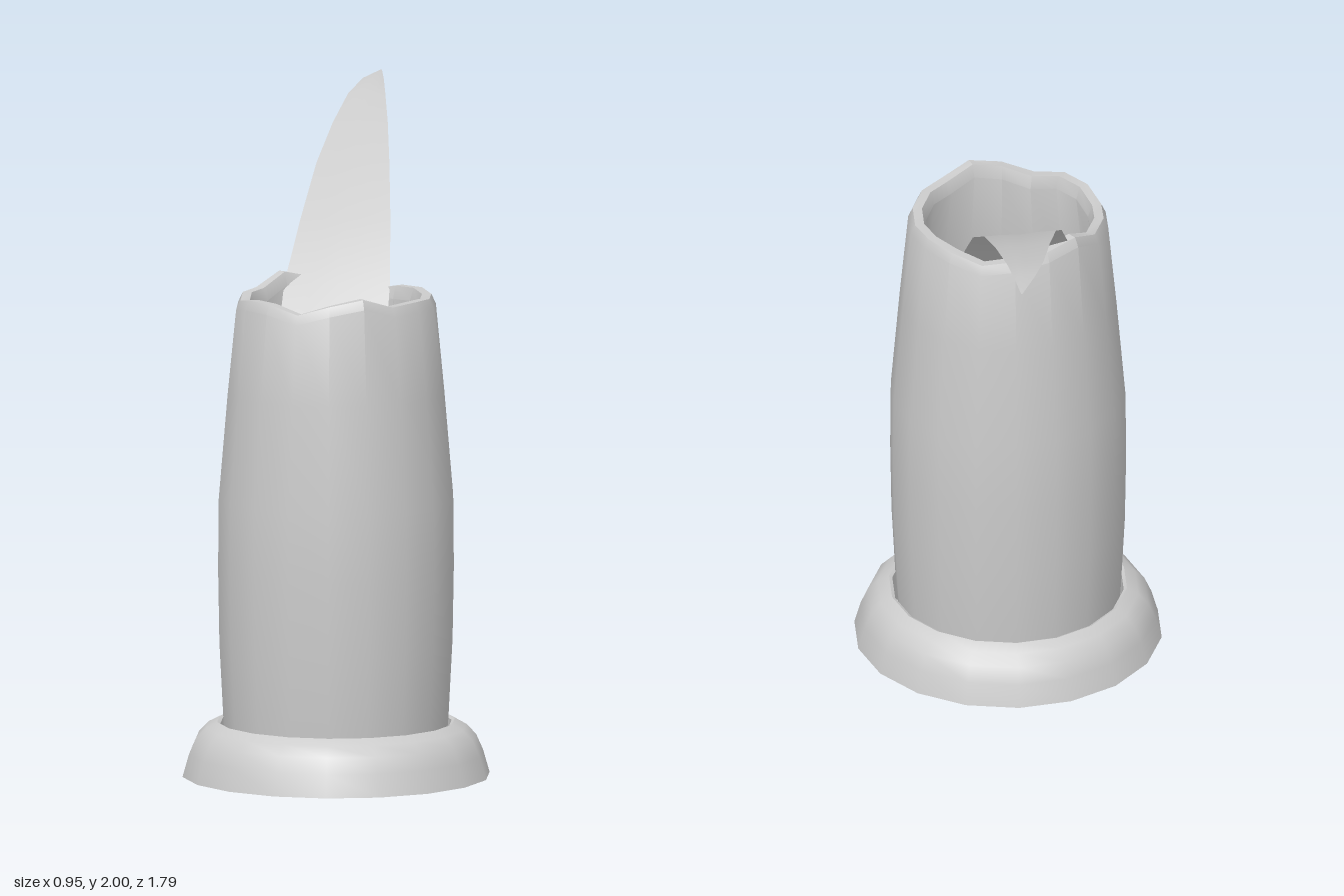
import * as THREE from 'three';
import { toCreasedNormals } from 'three/addons/utils/BufferGeometryUtils.js';

const SIDES = 18;
const CENTRE_Z = 0.425;
const material = new THREE.MeshStandardMaterial({ color: 0xcccccc, side: THREE.DoubleSide });

function lathe(profile) {
  const points = profile.map(([r, y]) => new THREE.Vector2(r, y));
  return new THREE.LatheGeometry(points, SIDES, THREE.MathUtils.degToRad(15));
}

function addMesh(group, name, geometry, crease) {
  const mesh = new THREE.Mesh(toCreasedNormals(geometry, crease), material);
  mesh.name = name;
  group.add(mesh);
  return mesh;
}

// Uneven rim: height offset at each of the 18 corners, in hundredths
const RIM = [0, 0, 0.5, 0, 3, 1, -2, 0.5, 0.5, -1, 0, 0, 4, 2, 0, -2, 0, 0.5];

function potGeometry() {
  const geometry = lathe([
    [0, 0.06], [0.34, 0.06], [0.35, 0.17], [0.363, 0.42], [0.367, 0.65], [0.365, 0.87],
    [0.337, 1.2], [0.311, 1.47], [0.297, 1.5], [0.268, 1.5], [0.255, 1.46],
    [0.285, 1.2], [0.315, 0.87], [0.315, 0.45], [0.3, 0.12], [0, 0.12],
  ]);
  const p = geometry.attributes.position;
  for (let i = 0; i < p.count; i++) {
    if (p.getY(i) < 1.4) continue;
    const degrees = THREE.MathUtils.radToDeg(Math.atan2(p.getZ(i), p.getX(i)));
    const k = (Math.round((degrees + 5) / 20) + SIDES) % SIDES;
    p.setY(i, p.getY(i) + RIM[k] / 100);
  }
  return geometry;
}

// Leaf stations from base to tip: z, y, left x, right x
const LEAF = [
  [0.57, 1.03, -0.08, 0.05], [0.5, 1.14, -0.16, 0.11], [0.4, 1.27, -0.19, 0.15],
  [0.2, 1.5, -0.155, 0.172], [0, 1.67, -0.1, 0.178], [-0.23, 1.81, -0.045, 0.18],
  [-0.45, 1.9, 0.01, 0.18], [-0.65, 1.96, 0.062, 0.177], [-0.78, 1.988, 0.11, 0.175],
  [-0.893, 1.998, 0.168, 0.172],
];

function leafGeometry() {
  const across = [-1, -0.5, 0, 0.5, 1, 0.5, 0, -0.5];
  const n = across.length;
  const positions = [];
  const index = [];
  LEAF.forEach(([z, y, left, right], i) => {
    const a = LEAF[Math.max(i - 1, 0)];
    const b = LEAF[Math.min(i + 1, LEAF.length - 1)];
    const length = Math.hypot(b[0] - a[0], b[1] - a[1]);
    const ny = -(b[0] - a[0]) / length;
    const nz = (b[1] - a[1]) / length;
    const isEnd = i === 0 || i === LEAF.length - 1;
    across.forEach((u, j) => {
      // Slightly folded along the midrib, thin at the edges
      const thickness = isEnd ? 0 : 0.008 * (1 - u * u) * (j < 4 ? 1 : -1);
      const fold = (right - left) * 0.05 * (Math.abs(u) - 0.5);
      const d = fold + thickness;
      const x = (left + right) / 2 + (u * (right - left)) / 2;
      positions.push(x, y + ny * d, z + nz * d);
    });
    if (i === 0) return;
    for (let j = 0; j < n; j++) {
      const p = (i - 1) * n + j;
      const q = (i - 1) * n + ((j + 1) % n);
      index.push(p, q, q + n, p, q + n, p + n);
    }
  });
  const geometry = new THREE.BufferGeometry();
  geometry.setAttribute('position', new THREE.Float32BufferAttribute(positions, 3));
  geometry.setIndex(index);
  geometry.computeVertexNormals();
  return geometry;
}

export function createModel() {
  const group = new THREE.Group();
  group.name = 'pottedLeaf';

  // Rounded saucer with a shallow recess holding the pot
  const saucer = addMesh(group, 'saucer', lathe([
    [0, 0], [0.478, 0], [0.458, 0.07], [0.436, 0.12], [0.405, 0.152],
    [0.37, 0.17], [0.36, 0.165], [0.355, 0.06], [0, 0.06],
  ]), 0.7);
  saucer.position.z = CENTRE_Z;

  // Hollow, tapered pot
  const pot = addMesh(group, 'pot', potGeometry(), 0.5);
  pot.position.z = CENTRE_Z - 0.003;

  // Long curved leaf leaning out over the back
  addMesh(group, 'leaf', leafGeometry(), 0.9);

  return group;
}
